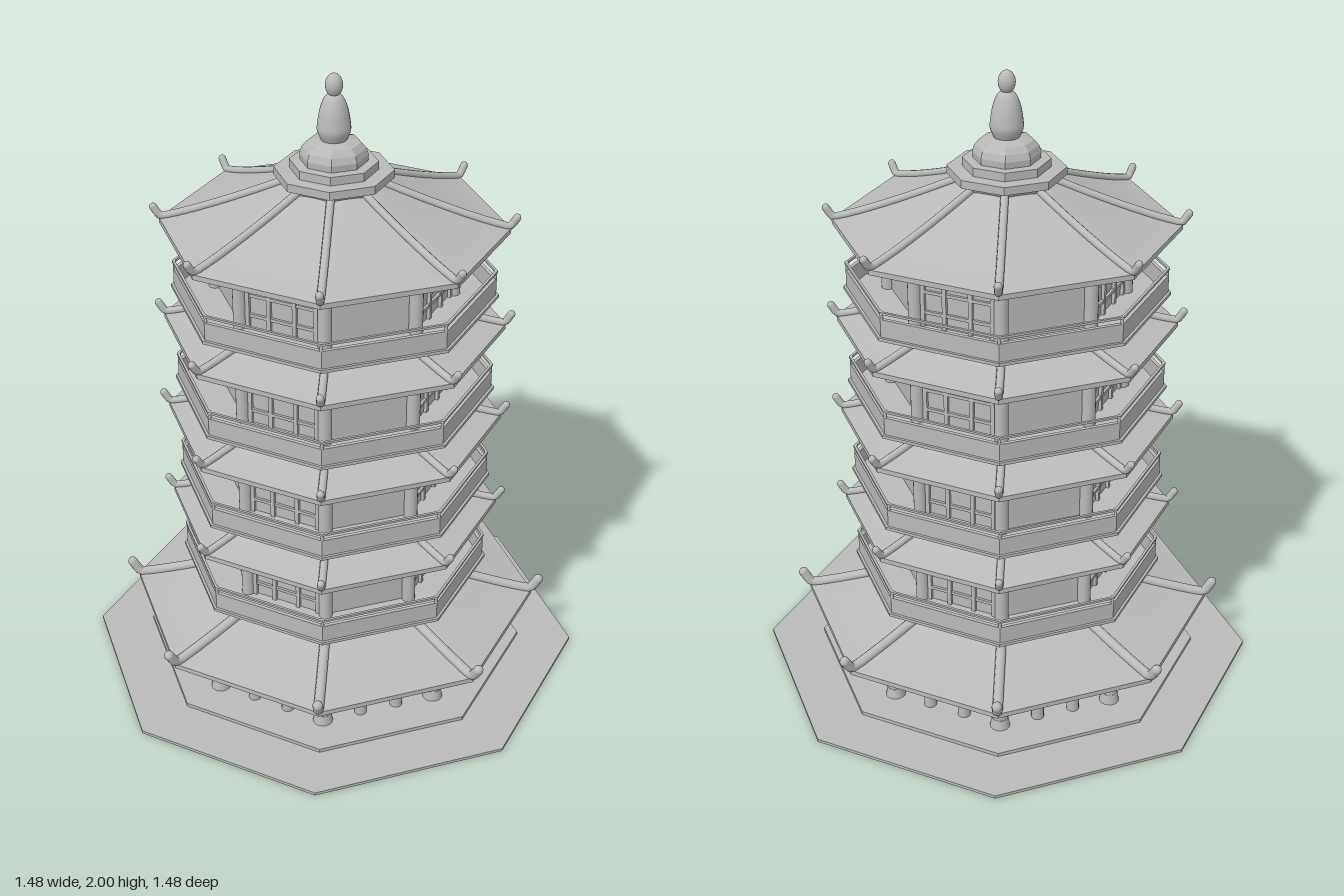
import * as THREE from 'three';
import { mergeVertices } from 'three/addons/utils/BufferGeometryUtils.js';

const stone = new THREE.MeshStandardMaterial({ color: 0xbababa });
stone.name = 'grey stone';
const SIDES = 8, STEP = Math.PI / 4, HALF = Math.PI / 8;
const corner = (ap) => ap / Math.cos(HALF); // apothem to corner radius

function add(parent, name, geo, x = 0, y = 0, z = 0) {
  const m = new THREE.Mesh(geo, stone);
  m.name = name;
  m.position.set(x, y, z);
  parent.add(m);
  return m;
}

function faceted(geo) {
  const g = geo.toNonIndexed();
  g.computeVertexNormals();
  return g;
}

// Eight-sided block between two heights, flat side to the front
function octagon(parent, name, ap, y0, y1, apBottom = ap) {
  const g = new THREE.CylinderGeometry(corner(ap), corner(apBottom), y1 - y0, SIDES);
  g.rotateY(HALF);
  return add(parent, name, faceted(g), 0, (y0 + y1) / 2, 0);
}

// Box lying on side i of an octagon, shifted by u along that side
function sideBox(parent, name, i, ap, w, y0, y1, d, u = 0) {
  const a = i * STEP;
  const m = add(parent, name, new THREE.BoxGeometry(w, y1 - y0, d),
    Math.sin(a) * ap + Math.cos(a) * u, (y0 + y1) / 2, Math.cos(a) * ap - Math.sin(a) * u);
  m.rotation.y = a;
}

function ring(parent, name, ap, y0, y1, d) {
  for (let i = 0; i < SIDES; i++)
    sideBox(parent, name, i, ap - d / 2, 2 * ap * Math.tan(HALF), y0, y1, d);
}

function post(parent, name, a, r, radius, y0, y1, foot = radius) {
  add(parent, name, new THREE.CylinderGeometry(radius, foot, y1 - y0, 16),
    Math.sin(a) * r, (y0 + y1) / 2, Math.cos(a) * r);
}

// Roof surface: straight octagonal eave blending into a round top
function roof(parent, ap, y, inner, rise, tube, curl) {
  const g = new THREE.Group();
  g.name = 'roof';
  parent.add(g);
  const rows = 10, cols = 64, pos = [], idx = [];
  const height = (t) => y + rise * Math.pow(t, 1.2);
  for (let j = 0; j <= rows; j++) {
    const t = j / rows;
    for (let i = 0; i <= cols; i++) {
      const a = HALF + (i / cols) * Math.PI * 2;
      const off = (a + HALF) % STEP - HALF;
      const r = THREE.MathUtils.lerp(ap / Math.cos(off), inner, t);
      pos.push(Math.sin(a) * r, height(t), Math.cos(a) * r);
      if (i < cols && j < rows) {
        const p = j * (cols + 1) + i, q = p + cols + 1;
        idx.push(p, p + 1, q, p + 1, q + 1, q);
      }
    }
  }
  let shell = new THREE.BufferGeometry();
  shell.setAttribute('position', new THREE.Float32BufferAttribute(pos, 3));
  shell.setIndex(idx);
  shell = mergeVertices(shell);
  shell.computeVertexNormals();
  add(g, 'roofTiles', shell);
  octagon(g, 'eave', ap, y - 0.016, y);

  // Corner ridges with upturned ends
  const R = corner(ap);
  const path = [];
  for (const t of [1, 0.75, 0.5, 0.25, 0.08])
    path.push(new THREE.Vector3(0, height(t) + 0.005, THREE.MathUtils.lerp(R, inner, t)));
  path.push(new THREE.Vector3(0, y + curl * 0.2, R - 0.005));
  path.push(new THREE.Vector3(0, y + curl, R + curl * 0.45));
  const curve = new THREE.CatmullRomCurve3(path);
  for (let i = 0; i < SIDES; i++) {
    const ridge = new THREE.Group();
    ridge.name = 'ridge';
    add(ridge, 'ridgeRoll', new THREE.TubeGeometry(curve, 28, tube, 10));
    const end = path[path.length - 1];
    add(ridge, 'ridgeEnd', new THREE.SphereGeometry(tube, 10, 8), 0, end.y, end.z);
    ridge.rotation.y = HALF + i * STEP;
    g.add(ridge);
  }
}

// One storey: balcony with railing, columned walls and lattice windows
function storey(parent, y) {
  const g = new THREE.Group();
  g.name = 'storey';
  parent.add(g);
  const top = y + 0.225;
  octagon(g, 'balconyFloor', 0.463, y, y + 0.01);
  ring(g, 'balconyPanel', 0.455, y + 0.01, y + 0.066, 0.012);
  ring(g, 'handrail', 0.457, y + 0.083, y + 0.09, 0.008);
  octagon(g, 'wall', 0.33, y + 0.01, top);
  octagon(g, 'topBeam', 0.345, top - 0.018, top);
  for (let i = 0; i < SIDES; i++) {
    const a = HALF + i * STEP;
    post(g, 'wallColumn', a, corner(0.335), 0.021, y + 0.01, top);
    post(g, 'railPost', a, corner(0.45), 0.005, y + 0.06, y + 0.09);
    if (i % 2) {
      for (const u of [-0.112, -0.042, 0.042, 0.112])
        sideBox(g, 'windowMullion', i, 0.333, 0.013, y + 0.01, top, 0.014, u);
      for (const h of [0.055, 0.12, 0.185])
        sideBox(g, 'windowBar', i, 0.332, 0.23, y + h - 0.005, y + h + 0.005, 0.012);
    }
  }
}

export function createModel() {
  const model = new THREE.Group();
  model.name = 'pagoda';

  // Stepped base
  octagon(model, 'lowerTerrace', 0.742, 0, 0.01);
  octagon(model, 'upperTerrace', 0.578, 0.01, 0.022);

  // Open ground floor: stout corner columns, two slimmer ones per side
  for (let i = 0; i < SIDES; i++) {
    const a = HALF + i * STEP;
    post(model, 'cornerColumn', a, corner(0.45), 0.025, 0.02, 0.19);
    post(model, 'columnBase', a, corner(0.45), 0.026, 0.02, 0.055, 0.032);
    for (const u of [-0.06, 0.06])
      post(model, 'sideColumn', i * STEP + Math.atan2(u, 0.45), Math.hypot(u, 0.45), 0.02, 0.02, 0.19);
  }
  ring(model, 'lintel', 0.455, 0.135, 0.19, 0.02);
  roof(model, 0.613, 0.205, 0.35, 0.075, 0.016, 0.045);
  octagon(model, 'neck', 0.375, 0.2, 0.335);

  // Four storeys, each under its own roof
  for (let k = 0; k < 4; k++) {
    const y = 0.333 + k * 0.3225;
    storey(model, y);
    if (k < 3) {
      roof(model, 0.487, y + 0.232, 0.29, 0.055, 0.012, 0.035);
      octagon(model, 'neck', 0.31, y + 0.23, y + 0.3225, 0.295);
    } else {
      roof(model, 0.487, y + 0.232, 0.12, 0.14, 0.012, 0.035);
    }
  }

  // Crown and finial
  octagon(model, 'crownNeck', 0.145, 1.635, 1.684, 0.115);
  octagon(model, 'crownSlab', 0.165, 1.684, 1.709);
  octagon(model, 'crownStep', 0.122, 1.709, 1.735);
  const v = (pts) => pts.map(([r, y]) => new THREE.Vector2(r, y));
  const dome = new THREE.LatheGeometry(
    v([[0.1, 1.735], [0.102, 1.755], [0.095, 1.775], [0.08, 1.792], [0.05, 1.8], [0, 1.802]]), SIDES);
  dome.rotateY(HALF);
  add(model, 'crownDome', faceted(dome));
  const profile = new THREE.SplineCurve(
    v([[0.036, 1.795], [0.049, 1.825], [0.049, 1.85], [0.041, 1.895], [0.026, 1.93], [0.001, 1.945]]));
  add(model, 'finial', new THREE.LatheGeometry(profile.getPoints(20), 24));
  const tip = add(model, 'finialTip', new THREE.SphereGeometry(0.026, 20, 14), 0, 1.965, 0);
  tip.scale.y = 1.35;

  return model;
}
